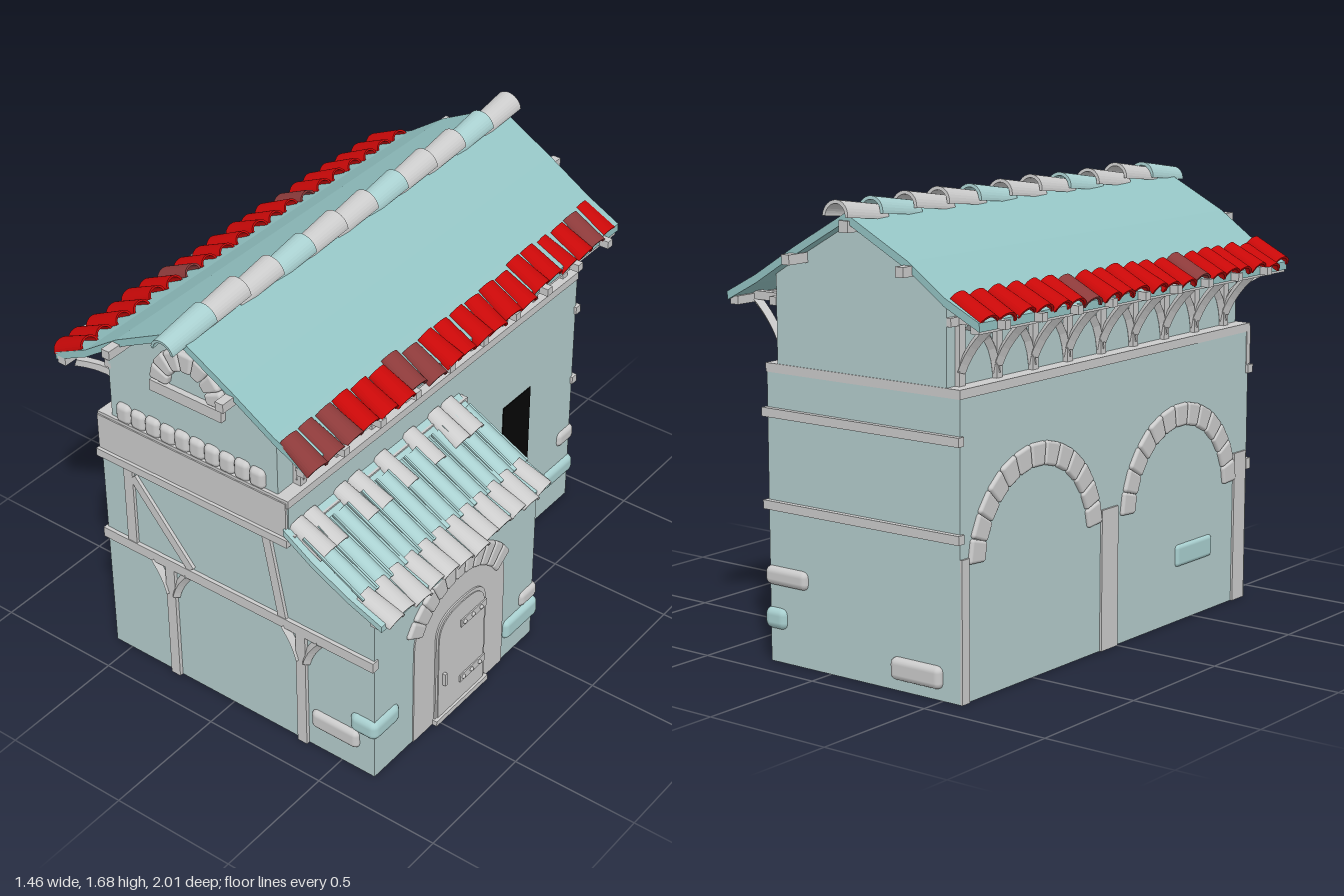
import * as THREE from 'three';
import { RoundedBoxGeometry } from 'three/addons/geometries/RoundedBoxGeometry.js';

const mat = (color) => new THREE.MeshStandardMaterial({ color });
const grey = mat(0xcccccc), plaster = mat(0xb4cccc), roofMat = mat(0x94c4c4), paleTeal = mat(0xa9d0d0);
const red = mat(0xc80808), darkRed = mat(0x8c3a3a), black = mat(0x060606);
const flat = new THREE.MeshStandardMaterial({ color: 0xcccccc, flatShading: true });
const V = (x, y, z) => new THREE.Vector3(x, y, z);

let seed = 7;
const rand = () => (seed = (seed * 16807) % 2147483647) / 2147483647;
const jitter = (a) => (rand() - 0.5) * 2 * a;

export function createModel() {
  const root = new THREE.Group();

  const add = (name, geo, material = grey, parent = root) => {
    const m = new THREE.Mesh(geo, material);
    m.name = name;
    parent.add(m);
    return m;
  };
  const group = (name) => {
    const g = new THREE.Group();
    g.name = name;
    root.add(g);
    return g;
  };
  // Box given by its limits on each axis
  const box = (name, x0, x1, y0, y1, z0, z1, material, parent) => {
    const m = add(name, new THREE.BoxGeometry(x1 - x0, y1 - y0, z1 - z0), material, parent);
    m.position.set((x0 + x1) / 2, (y0 + y1) / 2, (z0 + z1) / 2);
  };
  const stone = (name, x0, x1, y0, y1, z0, z1, material, parent) => {
    const w = x1 - x0, h = y1 - y0, d = z1 - z0;
    const m = add(name, new RoundedBoxGeometry(w, h, d, 2, Math.min(w, h, d) * 0.35), material, parent);
    m.position.set((x0 + x1) / 2, (y0 + y1) / 2, (z0 + z1) / 2);
  };
  // Square timber between two points
  const beam = (name, a, b, w, h, parent) => {
    const m = add(name, new THREE.BoxGeometry(w, h, a.distanceTo(b)), grey, parent);
    m.position.copy(a).lerp(b, 0.5);
    m.lookAt(b);
  };
  // Outline in x-y pushed along z
  const prism = (name, pts, z0, z1, material) => {
    const shape = new THREE.Shape(pts.map((p) => new THREE.Vector2(p[0], p[1])));
    const geo = new THREE.ExtrudeGeometry(shape, { depth: z1 - z0, bevelEnabled: false });
    add(name, geo.translate(0, 0, z0), material);
  };
  const curvedBrace = (a, mid, b, parent) =>
    add('curvedBrace', new THREE.TubeGeometry(new THREE.QuadraticBezierCurve3(a, mid, b), 6, 0.019, 4), flat, parent);
  // Tapered half-round tile from a to b, wide end at b, squashed to a share of its height
  const tile = (name, a, b, r, material, parent, taper, squash) => {
    const s = new THREE.Shape();
    s.absarc(0, 0, r, 0, Math.PI, false);
    s.absarc(0, 0, r * 0.78, Math.PI, 0, true);
    const len = a.distanceTo(b);
    const geo = new THREE.ExtrudeGeometry(s, { depth: len, bevelEnabled: false, curveSegments: 8 });
    const p = geo.attributes.position;
    for (let i = 0; i < p.count; i++) {
      const k = taper + (1 - taper) * p.getZ(i) / len;
      p.setXY(i, p.getX(i) * k, p.getY(i) * k * squash);
    }
    geo.computeVertexNormals();
    const m = add(name, geo, material, parent);
    m.position.copy(a);
    m.lookAt(b);
    return m;
  };
  // Ring of wedge stones in the x-y plane
  const stoneArch = (name, n, rIn, rOut, half, depth) => {
    const g = group(name), rm = (rIn + rOut) / 2, step = 2 * half / n;
    for (let i = 0; i < n; i++) {
      const t = -half + step * (i + 0.5);
      const geo = new RoundedBoxGeometry(rm * step, rOut - rIn, depth, 2, depth * 0.25);
      const p = geo.attributes.position;
      for (let j = 0; j < p.count; j++) p.setX(j, p.getX(j) * (rm + p.getY(j)) / rm);
      const m = add('archStone', geo, grey, g);
      m.position.set(Math.sin(t) * rm, Math.cos(t) * rm, 0);
      m.rotation.z = -t + jitter(0.03);
    }
    return g;
  };

  // Main walls, attic and side wing
  box('mainWalls', -0.575, 0.28, 0, 1.06, -0.9, 0.865, plaster);
  box('wallLedge', -0.578, 0.283, 1.04, 1.072, -0.903, 0.87);
  prism('atticWalls', [[-0.52, 1.06], [0.23, 1.06], [0.23, 1.39], [0.1, 1.47], [-0.13, 1.6], [-0.4, 1.46], [-0.52, 1.38]],
    -0.9, 0.857, plaster);
  prism('wingWalls', [[0.27, 0], [0.645, 0], [0.645, 0.745], [0.55, 0.785], [0.4, 0.86], [0.27, 0.945]], -0.11, 0.865, plaster);
  box('sideWindow', 0.27, 0.284, 0.2, 0.705, -0.6, -0.42, black);

  // Main roof with flared eaves
  const roofTop = [[-0.695, 1.31], [-0.55, 1.38], [-0.4, 1.485], [-0.13, 1.625], [0.1, 1.495], [0.28, 1.385], [0.415, 1.315]];
  prism('mainRoof', [...roofTop.map(([x, y]) => [x, y - 0.03]), ...roofTop.slice().reverse()], -0.95, 0.935, roofMat);
  for (const x of [-0.4, 0.1])
    for (const z of [-0.925, 0.92]) box('purlinEnd', x - 0.017, x + 0.017, 1.437, 1.472, z - 0.07, z + 0.07);
  box('ridgeBeam', -0.15, -0.11, 1.56, 1.6, -0.96, 0.945);

  const ridge = group('ridgeTiles');
  for (let i = 0; i < 11; i++) {
    const z = 1 - i * 0.178, dy = jitter(0.006);
    tile('ridgeTile', V(-0.13, 1.59 + dy, z), V(-0.13, 1.615 + dy, Math.max(z - 0.22, -1)), 0.056,
      i % 3 ? grey : paleTeal, ridge, 0.85, 1);
  }

  // Eave tiles and bracketed timbers on both long sides
  for (const s of [-1, 1]) {
    const eave = group(s > 0 ? 'leftEave' : 'rightEave');
    const X = (d) => -0.138 + s * d;
    for (let i = 0; i < 20; i++) {
      const z = -0.89 + i * 0.0938, out = 0.02 * Math.cos((z - 0.3) * 1.6) + jitter(0.01), dy = jitter(0.008);
      tile('eaveTile', V(X(0.425 + out), 1.365 + dy, z), V(X(0.555 + out), 1.292 + dy, z + jitter(0.012)), 0.05,
        rand() < 0.72 ? red : darkRed, eave, 0.82, 0.8);
    }
    beam('eaveBeam', V(X(0.53), 1.285, -0.94), V(X(0.53), 1.285, 0.935), 0.035, 0.03, eave);
    beam('wallPlate', V(X(0.385), 1.29, -0.9), V(X(0.385), 1.29, 0.857), 0.03, 0.03, eave);
    for (let i = 0; i < 9; i++) {
      const z = -0.84 + i * 0.2;
      beam('bracketPost', V(X(0.385), 1.065, z), V(X(0.385), 1.37, z), 0.032, 0.032, eave);
      beam('bracketArm', V(X(0.37), 1.295, z), V(X(0.59), 1.295, z), 0.03, 0.03, eave);
      curvedBrace(V(X(0.395), 1.12, z), V(X(0.43), 1.21, z), V(X(0.52), 1.285, z), eave);
      if (i) curvedBrace(V(X(0.385), 1.09, z), V(X(0.385), 1.25, z - 0.02), V(X(0.385), 1.275, z - 0.17), eave);
      else curvedBrace(V(X(0.385), 1.12, 0.76), V(X(0.4), 1.23, 0.78), V(X(0.5), 1.28, 0.9), eave);
    }
  }

  // Front gable: window arch, sill and row of rounded stones
  stoneArch('gableWindowArch', 7, 0.085, 0.165, 1.57, 0.05).position.set(-0.145, 1.335, 0.857);
  box('gableSill', -0.31, 0.01, 1.285, 1.33, 0.84, 0.88);
  const row = group('ledgeStones');
  for (let i = 0; i < 10; i++) {
    const x = -0.49 + i * 0.067;
    stone('ledgeStone', x, x + 0.067, 1.068, 1.15 + jitter(0.005), 0.815, 0.878, grey, row);
  }

  // Front timber frame
  const frame = group('frontTimbers'), zf = 0.868;
  box('fascia', -0.578, 0.275, 0.915, 1.06, 0.85, 0.875, grey, frame);
  box('upperBeam', -0.585, 0.285, 0.88, 0.912, 0.85, 0.885, grey, frame);
  box('middleBeam', -0.585, 0.65, 0.505, 0.547, 0.85, 0.88, grey, frame);
  box('upperPost', -0.467, -0.425, 0.547, 0.88, 0.85, 0.877, grey, frame);
  beam('diagonalBrace', V(-0.425, 0.85, zf), V(-0.17, 0.55, zf), 0.02, 0.035, frame);
  beam('leaningPost', V(0.185, 0.88, zf), V(0.25, 0.54, zf), 0.02, 0.035, frame);
  for (const x of [-0.27, 0.33]) {
    box('lowerPost', x - 0.021, x + 0.021, 0, 0.505, 0.85, 0.88, grey, frame);
    for (const s of [-1, 1]) curvedBrace(V(x + s * 0.015, 0.385, zf), V(x + s * 0.03, 0.45, zf), V(x + s * 0.08, 0.51, zf), frame);
  }

  // Back planks
  for (const y of [0.57, 0.9]) box('backPlank', -0.585, 0.29, y - 0.016, y + 0.016, -0.92, -0.89);

  // Blind arches and piers on the long plain wall
  for (const z of [-0.48, 0.4]) {
    const a = stoneArch('sideArch', 13, 0.295, 0.38, 1.5, 0.045);
    a.position.set(-0.566, 0.45, z);
    a.rotation.y = -Math.PI / 2;
  }
  for (const [z, w, h] of [[-0.88, 0.04, 0.5], [-0.05, 0.1, 0.52], [0.81, 0.08, 0.58]])
    box('sidePier', -0.583, -0.56, 0, h, z - w / 2, z + w / 2);
  stone('wallStone', -0.587, -0.54, 0.21, 0.295, 0.38, 0.62, paleTeal);

  // Wing roof: sagging slab with channel tiles below half-round covers
  const wingTop = [[0.27, 0.955], [0.4, 0.87], [0.55, 0.795], [0.69, 0.74]];
  prism('wingRoof', [...wingTop.map(([x, y]) => [x, y - 0.025]), ...wingTop.slice().reverse()], -0.125, 0.885, paleTeal);
  box('wingEaveBeam', 0.64, 0.68, 0.715, 0.735, -0.115, 0.88);
  box('wingTopBeam', 0.28, 0.31, 0.91, 0.935, -0.14, 0.87);
  const wing = group('wingTiles');
  for (let i = 0; i < 12; i++) {
    const z = -0.075 + i * 0.082, o = jitter(0.012);
    tile('eaveTile', V(0.565, 0.785, z), V(0.705 + o, 0.722, z + jitter(0.01)), 0.045, grey, wing, 0.82, 0.7);
    const channel = tile('channelTile', V(0.34, 0.938, z), V(0.6, 0.8, z), 0.041, paleTeal, wing, 0.9, 0.75);
    channel.rotateZ(Math.PI);
  }
  for (const z of [0.82, 0.75, 0.58, 0.5, 0.35, 0.18, 0.03, -0.05])
    tile('upperTile', V(0.27, 0.945, z), V(0.41, 0.87, z + jitter(0.01)), 0.046, grey, wing, 0.85, 0.85);

  // Doorway: outlines are drawn facing +z, then turned to face +x
  const door = group('doorway');
  const arched = (name, w, spring, top, depth) => {
    const s = new THREE.Shape().moveTo(-w, 0).lineTo(w, 0).lineTo(w, spring);
    s.bezierCurveTo(w, top - 0.01, w * 0.5, top, 0, top).bezierCurveTo(-w * 0.5, top, -w, top - 0.01, -w, spring);
    add(name, new THREE.ExtrudeGeometry(s, { depth, bevelEnabled: false }), grey, door);
  };
  arched('doorSurround', 0.275, 0.42, 0.6, 0.01);
  arched('doorFrame', 0.152, 0.39, 0.495, 0.016);
  arched('doorLeaf', 0.14, 0.38, 0.482, 0.02);
  box('threshold', -0.16, 0.16, 0, 0.022, 0, 0.03, grey, door);
  for (const y of [0.12, 0.385]) {
    box('hingeStrap', -0.01, 0.145, y - 0.016, y + 0.016, 0.015, 0.025, grey, door);
    for (const x of [0.01, 0.06, 0.11]) {
      const rivet = add('rivet', new THREE.SphereGeometry(0.009, 8, 6), grey, door);
      rivet.position.set(x, y, 0.025);
    }
  }
  box('handle', -0.115, -0.103, 0.165, 0.22, 0.015, 0.033, grey, door);
  door.position.set(0.64, 0, 0.365);
  door.rotation.y = Math.PI / 2;
  const doorArch = stoneArch('doorArch', 11, 0.265, 0.36, 1.03, 0.045);
  doorArch.position.set(0.637, 0.335, 0.375);
  doorArch.rotation.y = Math.PI / 2;

  // Corner stones
  const corners = [
    [0.54, 0.662, 0.18, 0.265, 0.725, 0.885], [0.37, 0.58, 0.1, 0.18, 0.82, 0.885],
    [0.6, 0.665, 0.09, 0.175, -0.13, 0.08], [0.52, 0.66, 0.178, 0.245, -0.13, -0.02],
    [0.24, 0.3, 0.285, 0.37, -0.3, -0.1], [0.1, 0.295, 0.28, 0.35, -0.92, -0.81],
    [0.2, 0.3, 0.12, 0.2, -0.92, -0.715], [-0.5, -0.28, 0.04, 0.12, -0.925, -0.86],
  ];
  corners.forEach((c, i) => stone('cornerStone', ...c, i % 2 ? grey : paleTeal));

  return root;
}
